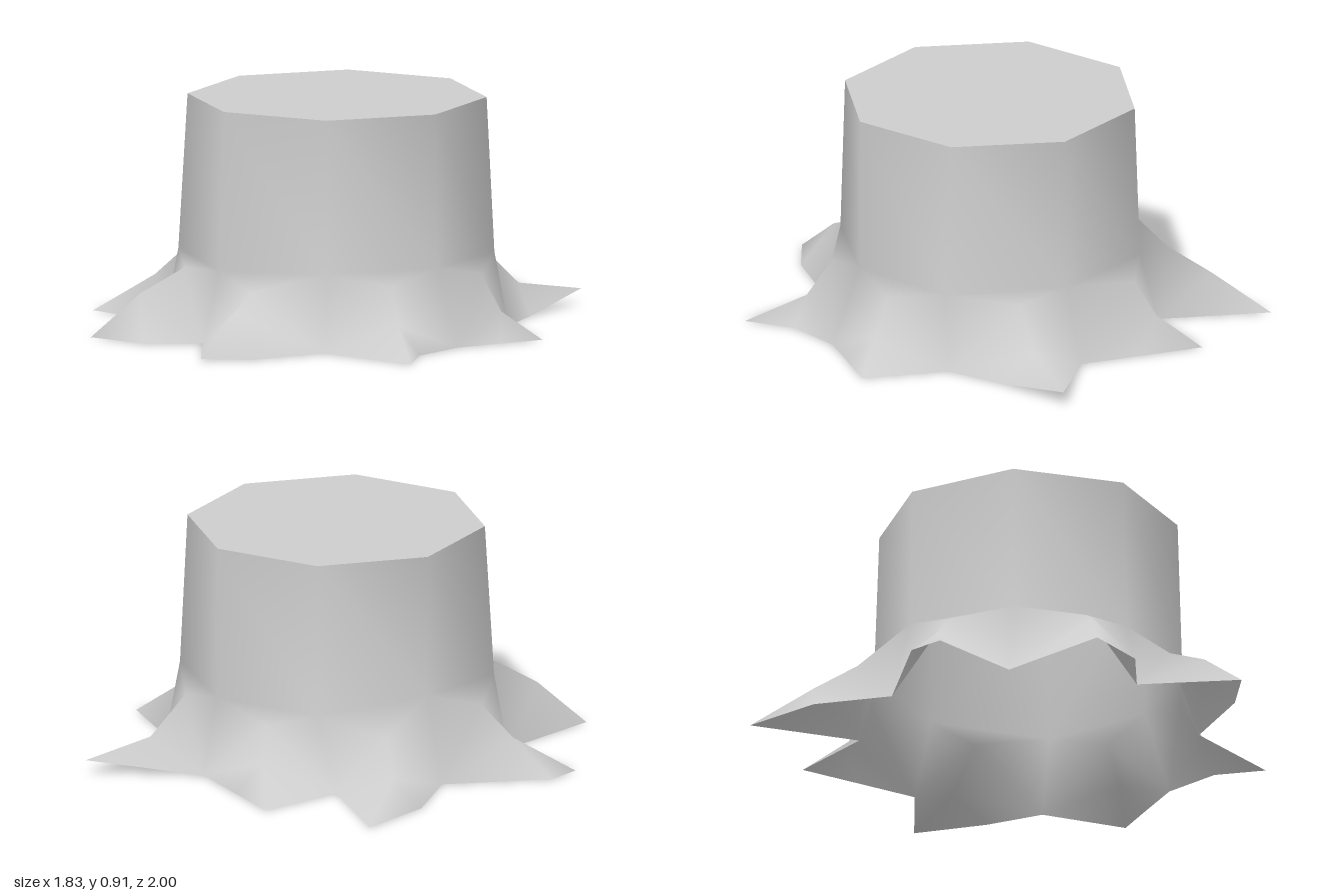
import * as THREE from 'three';

const CX = 0.025, CZ = 0.035, TOP = 0.91;

// Eight roots, listed clockwise from the back: the foot of the trunk corner before the root,
// the ground notch below it, the shoulder where the root leaves the trunk, the knuckle
// on its ridge and its two outer corners, each as [x, y, z].
const ROOTS = [
  { foot: [0.02, 0.3, -0.56], notch: [0, 0, -0.64], shoulder: [0.23, 0.26, -0.55], ridge: [0.25, 0.11, -0.71], a: [0.29, 0.06, -1], b: [0.38, 0, -0.66] },
  { foot: [0.475, 0.3, -0.39], notch: [0.49, 0, -0.45], shoulder: [0.62, 0.25, -0.2], ridge: [0.7, 0.11, -0.23], a: [0.82, 0, -0.34], b: [0.78, 0, -0.16] },
  { foot: [0.617, 0.3, 0.03], notch: [0.74, 0, 0.03], shoulder: [0.61, 0.25, 0.26], ridge: [0.7, 0.11, 0.3], a: [0.78, 0, 0.26], b: [0.91, 0, 0.42] },
  { foot: [0.455, 0.3, 0.46], notch: [0.5, 0, 0.51], shoulder: [0.23, 0.22, 0.66], ridge: [0.29, 0.16, 0.8], a: [0.42, 0, 0.83], b: [0.32, 0.01, 0.995] },
  { foot: [0.025, 0.28, 0.645], notch: [0.015, 0, 0.72], shoulder: [-0.18, 0.27, 0.645], ridge: [-0.27, 0.17, 0.8], a: [-0.14, 0, 0.9], b: [-0.38, 0, 0.96] },
  { foot: [-0.41, 0.3, 0.48], notch: [-0.46, 0, 0.51], shoulder: [-0.59, 0.26, 0.28], ridge: [-0.7, 0.14, 0.35], a: [-0.84, 0, 0.55], b: [-0.87, 0, 0.41] },
  { foot: [-0.567, 0.34, 0.03], notch: [-0.66, 0, 0.03], shoulder: [-0.63, 0.23, -0.22], ridge: [-0.78, 0.12, -0.31], a: [-0.85, 0, -0.22], b: [-0.92, 0, -0.53] },
  { foot: [-0.405, 0.3, -0.395], notch: [-0.5, 0, -0.37], shoulder: [-0.29, 0.26, -0.55], ridge: [-0.35, 0.13, -0.62], a: [-0.5, 0, -0.72], b: [-0.25, 0, -0.68] },
];

// Corner i of the octagonal cut, clockwise from the back
function cutCorner(i) {
  const t = i * Math.PI / 4;
  return [CX + 0.587 * Math.sin(t), TOP, CZ - 0.587 * Math.cos(t)];
}

function meshFrom(points, faces, material, name) {
  const geometry = new THREE.BufferGeometry();
  geometry.setAttribute('position', new THREE.Float32BufferAttribute(points.flat(), 3));
  geometry.setIndex(faces.flat());
  geometry.computeVertexNormals();
  const mesh = new THREE.Mesh(geometry, material);
  mesh.name = name;
  return mesh;
}

export function createModel() {
  const group = new THREE.Group();
  group.name = 'treeStump';
  const wood = new THREE.MeshStandardMaterial({ color: 0xcccccc, side: THREE.DoubleSide });
  wood.name = 'grey wood';

  // Trunk wall flowing into the roots, seven points per eighth, open underneath
  const points = [], faces = [];
  ROOTS.forEach((root, i) => {
    points.push(cutCorner(i), root.foot, root.notch, root.shoulder, root.ridge, root.a, root.b);
    const [top, foot, notch, shoulder, ridge, a, b] = [0, 1, 2, 3, 4, 5, 6].map((k) => i * 7 + k);
    const nextTop = ((i + 1) % 8) * 7, nextFoot = nextTop + 1, nextNotch = nextTop + 2;
    faces.push(
      // trunk, split along the slanting grain
      [top, nextTop, foot], [foot, nextTop, nextFoot],
      // flare into the root
      [foot, nextFoot, shoulder], [notch, foot, shoulder], [shoulder, nextFoot, nextNotch],
      // flanks of the root
      [notch, shoulder, ridge], [shoulder, nextNotch, ridge],
      // root toes
      [notch, ridge, a], [a, ridge, b], [b, ridge, nextNotch],
    );
  });
  group.add(meshFrom(points, faces, wood, 'trunkAndRoots'));

  // Flat cut top
  const capPoints = [[CX, TOP, CZ]], capFaces = [];
  for (let i = 0; i < 8; i++) {
    capPoints.push(cutCorner(i));
    capFaces.push([0, (i + 1) % 8 + 1, i + 1]);
  }
  group.add(meshFrom(capPoints, capFaces, wood, 'cutTop'));

  return group;
}
